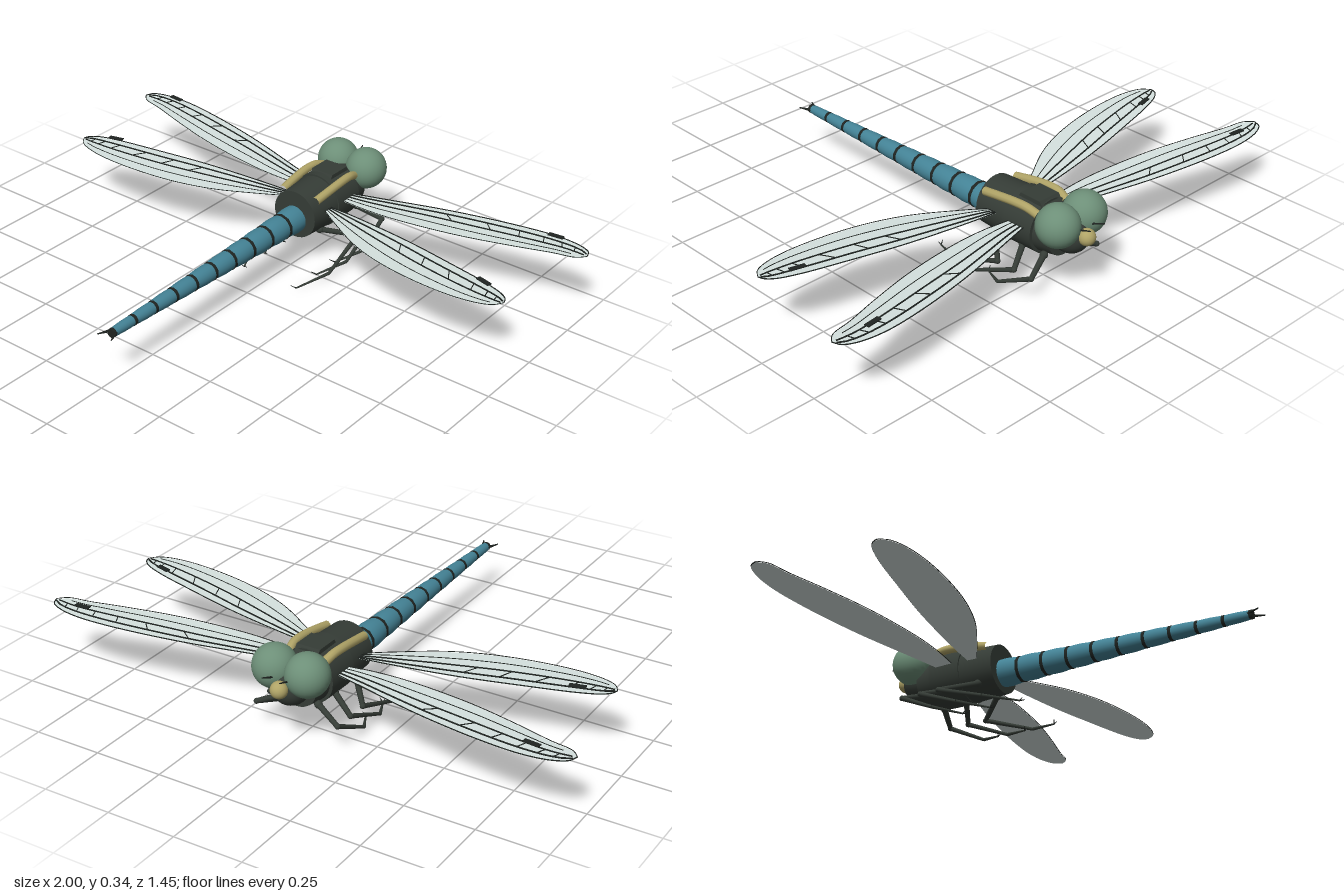
import * as THREE from 'three';

const mat = (name, color, side = THREE.FrontSide) => {
  const m = new THREE.MeshStandardMaterial({ color, side });
  m.name = name;
  return m;
};
const V = (x, y, z) => new THREE.Vector3(x, y, z);

export function createModel() {
  const dark = mat('darkBody', 0x353c36);
  const black = mat('blackTrim', 0x1f2421);
  const blue = mat('abdomenBlue', 0x448396);
  const green = mat('eyeGreen', 0x6d8f78);
  const yellow = mat('paleYellow', 0xb0a467);
  const membrane = mat('wingMembrane', 0xd6e2df, THREE.DoubleSide);

  const model = new THREE.Group();
  model.name = 'dragonfly';
  const add = (name, geo, m, parent = model) => {
    const mesh = new THREE.Mesh(geo, m);
    mesh.name = name;
    parent.add(mesh);
    return mesh;
  };
  const group = (name) => {
    const g = new THREE.Group();
    g.name = name;
    model.add(g);
    return g;
  };
  // Tapered round bar between two points
  const bar = (name, a, b, ra, rb, m, parent, sides = 8) => {
    const d = b.clone().sub(a);
    const mesh = add(name, new THREE.CylinderGeometry(rb, ra, d.length(), sides), m, parent);
    mesh.position.copy(a).addScaledVector(d, 0.5);
    mesh.quaternion.setFromUnitVectors(V(0, 1, 0), d.normalize());
    return mesh;
  };
  const ball = (name, r, x, y, z, m, parent) => {
    const mesh = add(name, new THREE.SphereGeometry(r, 28, 20), m, parent);
    mesh.position.set(x, y, z);
    return mesh;
  };

  // Thorax: three overlapping drums and a wedge on the back
  const thorax = group('thorax');
  bar('rearThorax', V(0, 0.202, -0.27), V(0, 0.202, -0.41), 0.09, 0.097, dark, thorax, 32);
  bar('middleThorax', V(0, 0.204, -0.4), V(0, 0.204, -0.525), 0.101, 0.099, dark, thorax, 32);
  bar('frontThorax', V(0, 0.202, -0.52), V(0, 0.202, -0.59), 0.088, 0.078, dark, thorax, 32);
  const ridge = new THREE.Shape([[0.41, 0.27], [0.43, 0.308], [0.515, 0.308], [0.545, 0.27]]
    .map(([x, y]) => new THREE.Vector2(x, y)));
  add('backRidge', new THREE.ExtrudeGeometry(ridge, { depth: 0.09, bevelEnabled: false })
    .translate(0, 0, -0.045).rotateY(Math.PI / 2), dark, thorax);

  // Abdomen: ten tapering, slightly barrelled segments with faceted dark joints
  const abdomen = group('abdomen');
  const z0 = -0.29, step = 0.0978, count = 10;
  const radius = (z) => 0.05 - 0.034 * (z - z0) / (step * count);
  for (let i = 0; i < count; i++) {
    const a = z0 + i * step, b = a + step;
    const profile = [0, 0.2, 0.5, 0.8, 1].map((t) =>
      new THREE.Vector2(radius(a + t * step) * (0.96 + 0.09 * Math.sin(Math.PI * t)), t * step));
    const segment = add('abdomenSegment', new THREE.LatheGeometry(profile, 24), blue, abdomen);
    segment.rotation.x = Math.PI / 2;
    segment.position.set(0, 0.185, a);
    bar('segmentJoint', V(0, 0.185, b - 0.006), V(0, 0.185, b + 0.006),
      radius(b) * 1.03, radius(b) * 1.03, black, abdomen, 10);
  }

  // Head
  const head = group('head');
  ball('headCore', 0.066, 0, 0.215, -0.618, dark, head);
  ball('face', 0.03, 0, 0.23, -0.685, yellow, head);

  // Wing edges as [x, z] from root to tip
  const wings = [
    { name: 'foreWing',
      lead: [[0.08, -0.49], [0.2, -0.523], [0.45, -0.592], [0.7, -0.64], [0.85, -0.653], [0.94, -0.642], [0.985, -0.62], [0.998, -0.59]],
      trail: [[0.08, -0.43], [0.2, -0.42], [0.33, -0.423], [0.56, -0.455], [0.75, -0.502], [0.89, -0.543], [0.97, -0.562], [0.998, -0.59]],
      spot: [0.86, -0.616, 0.271] },
    { name: 'hindWing',
      lead: [[0.08, -0.365], [0.2, -0.355], [0.45, -0.32], [0.65, -0.278], [0.83, -0.235], [0.9, -0.208], [0.926, -0.185], [0.932, -0.165]],
      trail: [[0.08, -0.335], [0.18, -0.27], [0.33, -0.185], [0.5, -0.13], [0.72, -0.103], [0.85, -0.112], [0.91, -0.135], [0.932, -0.165]],
      spot: [0.82, -0.222, 0.262] },
  ];
  const wingY = (x) => 0.22 + 0.03 * (Math.abs(x) - 0.1) / 0.9;

  const buildWing = ({ name, lead, trail, spot }, s) => {
    const g = group(name);
    const curve = (pts) => new THREE.CatmullRomCurve3(pts.map(([x, z]) => V(s * x, wingY(x), z)));
    const front = curve(lead), back = curve(trail);
    const rim = [...front.getPoints(42), ...back.getPoints(42).reverse().slice(1)];
    const geo = new THREE.ShapeGeometry(new THREE.Shape(rim.map((p) => new THREE.Vector2(p.x, -p.z))));
    geo.rotateX(-Math.PI / 2);
    const pos = geo.attributes.position;
    for (let i = 0; i < pos.count; i++) pos.setY(i, wingY(pos.getX(i)));
    geo.computeVertexNormals();
    add('membrane', geo, membrane, g);

    // Veins lie just above the membrane, at fraction f of the chord
    const at = (u, f) => front.getPoint(u).lerp(back.getPoint(u), f).add(V(0, 0.003, 0));
    const vein = (label, pts, r) => add(label, new THREE.TubeGeometry(
      new THREE.CatmullRomCurve3(pts), pts.length * 3, r, 5), black, g);
    const edge = (f) => Array.from({ length: 25 }, (_, i) => at(i / 24, f));
    vein('leadingEdge', edge(0), 0.002);
    vein('trailingEdge', edge(1), 0.0014);
    [[0.2, 0.9, 0.0028], [0.46, 0.88, 0.0026], [0.72, 0.78, 0.0014]].forEach(([f, end, r]) =>
      vein('longVein', Array.from({ length: 10 }, (_, i) => at(0.01 + (end * i) / 9, f)), r));
    for (let i = 0; i < 6; i++) {
      const u = 0.3 + i * 0.085;
      bar('crossVein', at(u, 0.2), at(u + 0.045, 0.46), 0.0018, 0.0018, black, g, 5);
    }
    const mark = add('wingSpot', new THREE.BoxGeometry(0.056, 0.004, 0.018), black, g);
    mark.position.set(s * spot[0], spot[2], spot[1]);
    mark.rotation.y = s * (name === 'foreWing' ? 0.1 : -0.25);
  };

  // Legs: hip z, knee z, ankle z, foot z
  const legs = [
    ['frontLeg', -0.56, -0.592, -0.455, -0.36],
    ['middleLeg', -0.465, -0.515, -0.355, -0.25],
    ['hindLeg', -0.335, -0.44, -0.25, -0.13],
  ];
  const buildLeg = ([name, hz, kz, az, fz], s) => {
    const g = group(name);
    const hip = V(s * 0.065, 0.135, hz), knee = V(s * 0.158, 0.097, kz);
    const ankle = V(s * 0.172, 0.03, az), foot = V(s * 0.118, 0.005, fz);
    ball('hip', 0.014, hip.x, hip.y, hip.z, dark, g);
    bar('thigh', hip, knee, 0.011, 0.009, dark, g);
    ball('knee', 0.01, knee.x, knee.y, knee.z, dark, g);
    bar('shin', knee, ankle, 0.009, 0.006, dark, g);
    bar('foot', ankle, foot, 0.006, 0.003, dark, g);
    for (const k of [-1, 1])
      bar('claw', foot, foot.clone().add(V(-s * 0.008 + k * 0.01, 0.008, 0.01)), 0.0025, 0.001, black, g, 5);
  };

  for (const s of [1, -1]) {
    wings.forEach((w) => buildWing(w, s));
    legs.forEach((l) => buildLeg(l, s));
    ball('eye', 0.076, s * 0.063, 0.269, -0.615, green, head);
    bar('antenna', V(s * 0.028, 0.262, -0.67), V(s * 0.034, 0.284, -0.728), 0.004, 0.002, black, head, 6);
    bar('tailClasper', V(s * 0.009, 0.186, 0.675), V(s * 0.03, 0.187, 0.725), 0.006, 0.002, black, abdomen, 6);
    // Pale shoulder stripe
    const stripe = new THREE.CatmullRomCurve3([
      V(s * 0.073, 0.268, -0.295), V(s * 0.077, 0.279, -0.36), V(s * 0.079, 0.289, -0.44),
      V(s * 0.076, 0.288, -0.49), V(s * 0.068, 0.274, -0.53)]);
    add('shoulderStripe', new THREE.TubeGeometry(stripe, 24, 0.0155, 10), yellow, thorax);
  }
  return model;
}
